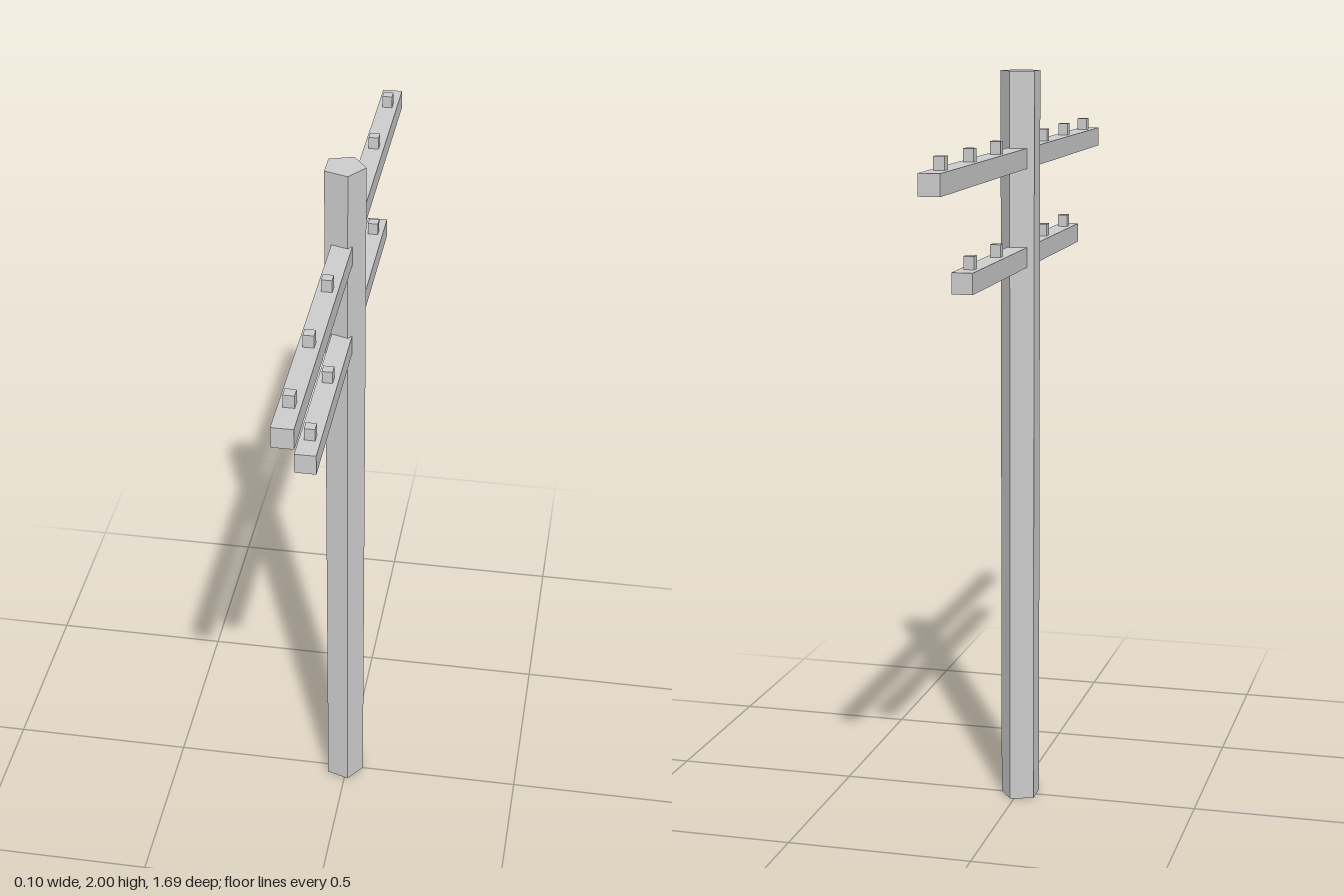
import * as THREE from 'three';

const AXIS_X = -0.007; // pole axis, shared by the crossarms

export function createModel() {
  const model = new THREE.Group();
  const grey = new THREE.MeshStandardMaterial({ color: 0xcccccc, flatShading: true });
  const openGrey = new THREE.MeshStandardMaterial({ color: 0xcccccc, flatShading: true, side: THREE.DoubleSide });

  const addBox = (parent, name, [w, h, d], y, z) => {
    const mesh = new THREE.Mesh(new THREE.BoxGeometry(w, h, d), grey);
    mesh.name = name;
    mesh.position.set(0, y, z);
    parent.add(mesh);
  };

  // Five-sided pole, capped on top and open underneath, one corner towards +x
  const profile = [[0.055, 0], [0.055, 2], [0, 2]].map(([r, y]) => new THREE.Vector2(r, y));
  const pole = new THREE.Mesh(new THREE.LatheGeometry(profile, 5, Math.PI / 2), openGrey);
  pole.name = 'pole';
  pole.position.x = AXIS_X;
  model.add(pole);

  // Crossarms through the pole, each with a row of insulators on both sides
  const arms = [
    { name: 'upperCrossarm', y: 1.774, length: 1.69, pegs: 3 },
    { name: 'lowerCrossarm', y: 1.514, length: 1.15, pegs: 2 },
  ];
  for (const { name, y, length, pegs } of arms) {
    const arm = new THREE.Group();
    arm.name = name;
    arm.position.set(AXIS_X, y, 0);
    addBox(arm, 'beam', [0.053, 0.053, length], 0, 0);
    for (let i = 1; i <= pegs; i++) {
      for (const side of [-1, 1]) addBox(arm, 'insulator', [0.027, 0.034, 0.027], 0.042, side * i * 0.25);
    }
    model.add(arm);
  }
  return model;
}
